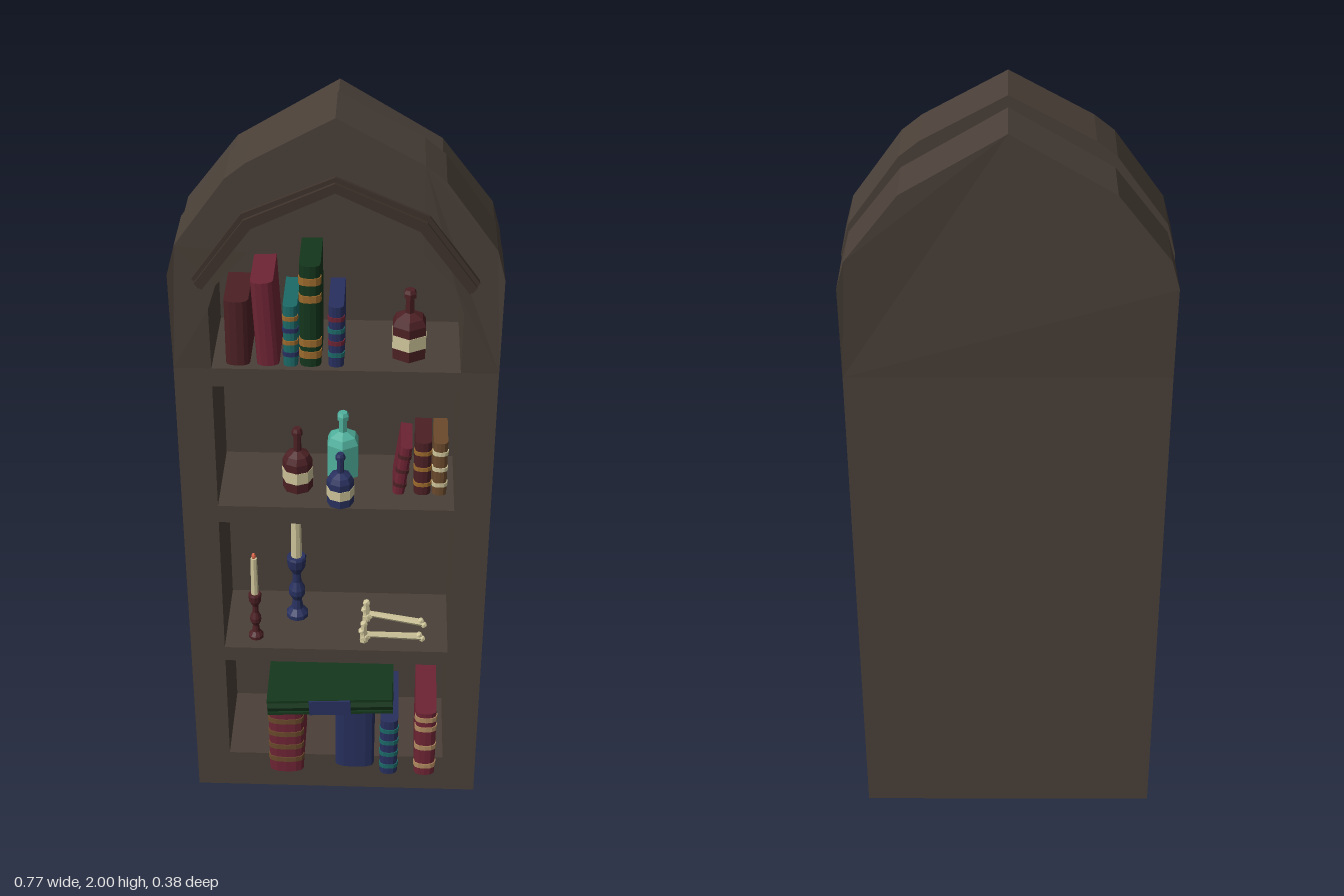
import * as THREE from 'three';

const WOOD = 0x4a4038, RED = 0x6e2434, MAROON = 0x4c2024, GREEN = 0x14361c, BLUE = 0x28305e;
const TEAL = 0x1c6a68, GOLD = 0x9c6a2c, CREAM = 0xcfc59a, AQUA = 0x4fb09c, FLAME = 0xe0684c;

const materials = {};
const mat = (color) => (materials[color] ??= new THREE.MeshStandardMaterial({ color, flatShading: true }));

function add(parent, name, geometry, color, x = 0, y = 0, z = 0) {
  const mesh = new THREE.Mesh(geometry, mat(color));
  mesh.name = name;
  mesh.position.set(x, y, z);
  parent.add(mesh);
  return mesh;
}

function group(parent, name, x = 0, y = 0, z = 0) {
  const g = new THREE.Group();
  g.name = name;
  g.position.set(x, y, z);
  parent.add(g);
  return g;
}

const toShape = (pts) => new THREE.Shape(pts.map(([x, y]) => new THREE.Vector2(x, y)));
// Right half (bottom to peak) plus its mirror image
const mirrored = (half) => [...half, ...half.filter(([x]) => x > 0).reverse().map(([x, y]) => [-x, y])];
const rect = (x, y0, y1) => [[-x, y0], [x, y0], [x, y1], [-x, y1]];

// Plate between z0 and z1; its outer faces swell slightly towards the arch
function plate(parent, name, pts, holes, z0, z1) {
  const shape = toShape(pts);
  shape.holes = holes.map(toShape);
  const geo = new THREE.ExtrudeGeometry(shape, { depth: z1 - z0, bevelEnabled: false });
  geo.translate(0, 0, z0);
  const p = geo.attributes.position;
  for (let i = 0; i < p.count; i++) {
    const swell = 0.017 * THREE.MathUtils.clamp((p.getY(i) - 1.36) / 0.25, 0, 1);
    const z = p.getZ(i);
    if (z > 0.09) p.setZ(i, z + swell);
    if (z < -0.16) p.setZ(i, z - swell);
  }
  geo.computeVertexNormals();
  add(parent, name, geo, WOOD);
}

const W = 0.385, HOLE = 0.295, SPLIT = 1.36;
const FRONT_ARCH = [[W, 1.615], [0.365, 1.69], [0.245, 1.855], [0.197, 1.893], [0, 2]];
const REAR_ARCH = [[W, 1.6], [0.365, 1.67], [0.24, 1.83], [0, 1.972]];
const OPENING = [[HOLE, SPLIT], [HOLE, 1.525], [0.275, 1.59], [0.2, 1.675], [0.1, 1.735], [0, 1.775]];
const BAYS = [[0.12, 0.455], [0.5, 0.91], [0.96, 1.31]];

function buildCase(parent) {
  const g = group(parent, 'bookcase');
  const holes = BAYS.map(([a, b]) => rect(HOLE, a, b));
  const layers = [['frontFrame', FRONT_ARCH, -0.04, 0.095], ['rearFrame', REAR_ARCH, -0.15, -0.04]];
  for (const [name, arch, z0, z1] of layers) {
    plate(g, name, rect(W, 0, SPLIT), holes, z0, z1);
    // Arched upper part, open at the bottom
    const right = [[W, SPLIT], ...arch], inner = OPENING.slice().reverse();
    const left = right.filter(([x]) => x > 0).reverse().map(([x, y]) => [-x, y]);
    const innerLeft = OPENING.filter(([x]) => x > 0).map(([x, y]) => [-x, y]);
    plate(g, name + 'Arch', [...right, ...left, ...innerLeft, ...inner], [], z0, z1);
  }
  plate(g, 'backPanel', rect(W, 0, SPLIT), [], -0.17, -0.15);
  plate(g, 'backPanelArch', mirrored([[W, SPLIT], ...REAR_ARCH]), [], -0.17, -0.15);

  // Stepped moulding over the arch
  const steps = [
    [[[0.328, 1.612], [0.21, 1.775], [0, 1.866]], [[0.306, 1.583], [0.19, 1.738], [0, 1.828]], 0.121],
    [[[0.322, 1.604], [0.205, 1.763], [0, 1.855]], [[0.311, 1.59], [0.196, 1.748], [0, 1.839]], 0.13],
  ];
  for (const [outer, inner, z] of steps) {
    const flip = (pts) => pts.slice(0, 2).map(([x, y]) => [-x, y]);
    const pts = [...outer, ...flip(outer).reverse(), ...flip(inner), ...inner.slice().reverse()];
    const geo = new THREE.ExtrudeGeometry(toShape(pts), { depth: z - 0.09, bevelEnabled: false });
    add(g, 'archMoulding', geo, MOULD, 0, 0, 0.09);
  }
}
const MOULD = 0x3f332c;

// Block with a rounded spine facing +z, standing on y = 0
function bookBlock(w, h, d, bulge) {
  const s = new THREE.Shape();
  s.moveTo(-w / 2, d);
  s.lineTo(-w / 2, bulge);
  s.quadraticCurveTo(-w / 2, 0, 0, 0);
  s.quadraticCurveTo(w / 2, 0, w / 2, bulge);
  s.lineTo(w / 2, d);
  const geo = new THREE.ExtrudeGeometry(s, { depth: h, bevelEnabled: false, curveSegments: 3 });
  return geo.rotateX(-Math.PI / 2).rotateY(0);
}

// Book whose spine reaches zFront, with coloured bands round the spine
function book(parent, { x, y, z, w, h, d, color, bands = [], bandColor = GOLD, tilt = 0 }) {
  const g = group(parent, 'book', x, y, z);
  g.rotation.z = tilt;
  // Extrusion runs up y, and the shape's depth runs back along -z
  const bulge = Math.min(0.018, w * 0.4);
  add(g, 'cover', bookBlock(w, h, d, bulge), color);
  bands.forEach((f, i) => {
    const c = Array.isArray(bandColor) ? bandColor[i % bandColor.length] : bandColor;
    add(g, 'spineBand', bookBlock(w + 0.004, h * 0.07, bulge + 0.006, bulge), c, 0, h * (f - 0.035), 0.002);
  });
  return g;
}

function lathe(parent, name, pts, color, sides) {
  const geo = new THREE.LatheGeometry(pts.map(([r, y]) => new THREE.Vector2(r, y)), sides);
  return add(parent, name, geo, color);
}

function bottle(parent, x, y, z, r, body, total, color, label, sides = 8) {
  const g = group(parent, 'bottle', x, y, z);
  const n = r * 0.26;
  lathe(g, 'glass', [[0, 0], [r, 0], [r, body * 0.75], [r * 0.8, body * 0.9], [n, body], [n, total * 0.88],
    [n * 1.4, total * 0.89], [n * 1.4, total * 0.95], [n, total], [0, total]], color, sides);
  if (label) {
    lathe(g, 'label', [[r, body * 0.25], [r * 1.03, body * 0.25], [r * 1.03, body * 0.55], [r, body * 0.55]], label, sides);
  }
}

function candlestick(parent, x, y, z, r, stand, top, color) {
  const g = group(parent, 'candlestick', x, y, z);
  const profile = [[0, 0], [1, 0], [1, 0.06], [0.55, 0.14], [0.4, 0.28], [0.75, 0.38], [0.75, 0.46], [0.4, 0.58],
    [0.4, 0.72], [0.8, 0.84], [0.9, 0.97], [0.8, 1], [0, 1]];
  lathe(g, 'stand', profile.map(([a, b]) => [a * r, b * stand]), color, 10);
  add(g, 'candle', new THREE.CylinderGeometry(r * 0.42, r * 0.5, top - stand, 8), CREAM, 0, (top + stand) / 2);
  const flame = add(g, 'flame', new THREE.SphereGeometry(r * 0.3, 6, 5), FLAME, 0, top + r * 0.35);
  flame.scale.y = 1.7;
}

// Bone lying on the shelf: knobbed upright end and a thin shaft
function bone(parent, x, y, z, yaw) {
  const g = group(parent, 'bone', x, y, z);
  g.rotation.y = yaw;
  const shaft = add(g, 'shaft', new THREE.CylinderGeometry(0.008, 0.01, 0.15, 6), CREAM, 0.085, 0.026, 0);
  shaft.rotation.z = Math.PI / 2 - 0.11;
  add(g, 'head', new THREE.CylinderGeometry(0.008, 0.012, 0.06, 6), CREAM, 0.008, 0.042, 0);
  const knobs = [[0.008, 0.07, 0.011], [0.004, 0.046, 0.012], [0.012, 0.026, 0.015], [0.163, 0.011, 0.01], [0.155, 0.024, 0.01]];
  for (const [kx, ky, r] of knobs) add(g, 'knob', new THREE.IcosahedronGeometry(r, 0), CREAM, kx, ky, 0);
}

export function createModel() {
  const model = new THREE.Group();
  model.name = 'archedBookcase';
  buildCase(model);

  // Top shelf
  const top = group(model, 'topShelf', 0, 1.36, 0);
  const small = { y: 0, z: 0.08, d: 0.15 };
  book(top, { ...small, x: -0.234, w: 0.058, h: 0.17, color: MAROON });
  book(top, { ...small, x: -0.162, w: 0.054, h: 0.22, color: RED, tilt: 0.05 });
  book(top, { ...small, x: -0.108, w: 0.034, h: 0.16, color: TEAL, bands: [0.2, 0.4, 0.6, 0.8], bandColor: [BLUE, GOLD] });
  book(top, { ...small, x: -0.061, w: 0.05, h: 0.265, color: GREEN, bands: [0.12, 0.24, 0.68, 0.85] });
  book(top, { ...small, x: 0, w: 0.036, h: 0.16, color: BLUE, bands: [0.2, 0.4, 0.6, 0.8], bandColor: [TEAL, RED] });
  bottle(top, 0.172, 0, 0.01, 0.045, 0.115, 0.175, MAROON, CREAM, 6);

  // Bottle shelf
  const second = group(model, 'bottleShelf', 0, 0.96, 0);
  bottle(second, -0.1, 0, 0, 0.038, 0.11, 0.175, MAROON, CREAM);
  bottle(second, 0.01, 0, 0.065, 0.034, 0.09, 0.145, BLUE, CREAM);
  bottle(second, 0.012, 0, -0.07, 0.045, 0.125, 0.18, AQUA, null, 6);
  const thin = { y: 0, z: 0.03, d: 0.12, bands: [0.2, 0.5, 0.8], bandColor: CREAM };
  book(second, { ...thin, x: 0.155, w: 0.03, h: 0.14, color: RED, bandColor: MAROON, tilt: -0.13 });
  book(second, { ...thin, x: 0.215, w: 0.042, h: 0.155, color: MAROON, bandColor: GOLD });
  book(second, { ...thin, x: 0.258, w: 0.036, h: 0.155, color: 0x6b4a2c });

  // Candle shelf
  const third = group(model, 'candleShelf', 0, 0.5, 0);
  candlestick(third, -0.215, 0, 0.045, 0.02, 0.145, 0.26, MAROON);
  candlestick(third, -0.11, 0, -0.05, 0.03, 0.2, 0.36, BLUE);
  bone(third, 0.065, 0, 0.07, 0.1);
  bone(third, 0.07, 0, -0.02, -0.1);

  // Large books at the bottom, one lying across the others
  const bottom = group(model, 'bottomShelf', 0, 0.12, 0);
  const big = { y: 0, z: 0.165, d: 0.21 };
  book(bottom, { ...big, x: -0.133, w: 0.092, h: 0.228, color: RED, bands: [0.2, 0.4, 0.6, 0.8], bandColor: 0x6b4a2c });
  book(bottom, { ...big, x: 0.052, z: 0.14, w: 0.106, h: 0.23, color: BLUE });
  book(bottom, { ...big, x: 0.145, w: 0.048, h: 0.19, color: BLUE, bands: [0.15, 0.38, 0.6, 0.82], bandColor: TEAL });
  book(bottom, { ...big, x: 0.243, w: 0.056, h: 0.222, color: RED, bands: [0.15, 0.45, 0.75, 0.9], bandColor: 0xb08a60 });
  const lying = group(bottom, 'lyingBook', -0.013, 0.257, 0.0625);
  lying.rotation.z = 0.05;
  for (const s of [-1, 1]) add(lying, 'cover', new THREE.BoxGeometry(0.333, 0.008, 0.245), GREEN, 0, s * 0.02, 0);
  add(lying, 'pages', new THREE.BoxGeometry(0.32, 0.036, 0.225), 0x1a3a22, 0, 0, -0.004);
  const spine = add(lying, 'spine', new THREE.CylinderGeometry(0.024, 0.024, 0.333, 8), GREEN, 0, 0, 0.1);
  spine.rotation.z = Math.PI / 2;
  add(lying, 'spineBand', new THREE.BoxGeometry(0.11, 0.046, 0.03), BLUE, 0, 0, 0.112);
  return model;
}
